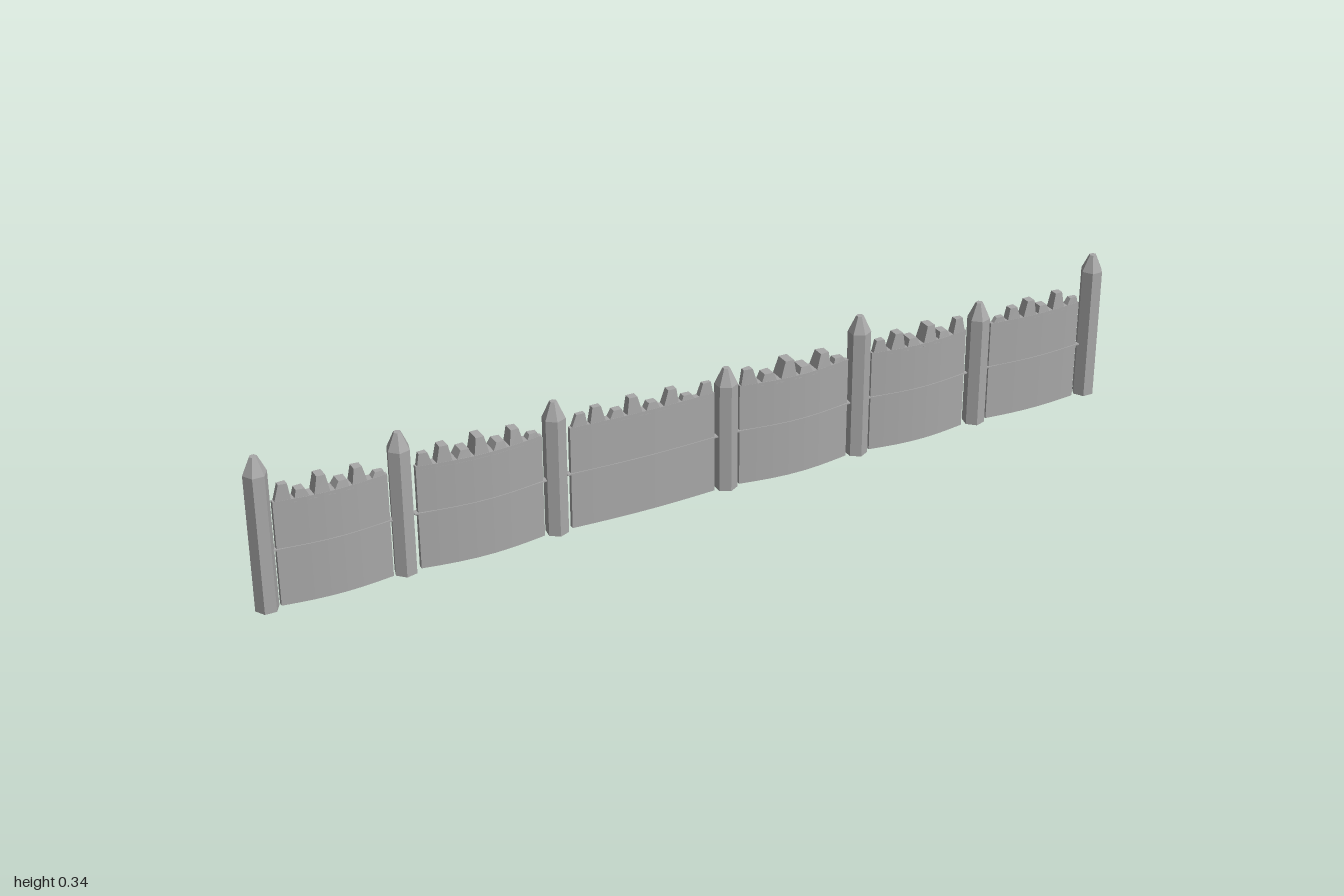
import * as THREE from 'three';

export function createModel() {
  const group = new THREE.Group();
  group.name = 'palisadeFence';
  const wood = new THREE.MeshStandardMaterial({ color: 0xa8a8a8 });
  wood.name = 'greyWood';

  function add(parent, geometry, name) {
    const flat = geometry.toNonIndexed();
    flat.computeVertexNormals();
    const mesh = new THREE.Mesh(flat, wood);
    mesh.name = name;
    parent.add(mesh);
    return mesh;
  }

  // Hexagonal posts with blunt tapered points: x, height, turn
  const posts = [
    [-0.975, 0.342, 0], [-0.682, 0.32, 0.25], [-0.346, 0.304, 0.4], [0.05, 0.284, 0.52],
    [0.373, 0.33, 0.5], [0.678, 0.292, 0.3], [0.975, 0.342, 0],
  ];
  const capHeight = 0.037;
  for (const [x, height, turn] of posts) {
    const post = new THREE.Group();
    post.name = 'post';
    post.position.x = x;
    post.rotation.y = Math.PI / 2 + turn;
    const shaft = height - capHeight;
    add(post, new THREE.CylinderGeometry(0.025, 0.025, shaft, 6), 'postShaft').position.y = shaft / 2;
    add(post, new THREE.CylinderGeometry(0.008, 0.025, capHeight, 6), 'postPoint').position.y = shaft + capHeight / 2;
    group.add(post);
  }

  // Half thickness of a panel: thin at the ends, swelling in the middle
  const halfDepth = (x, [x0, x1, bulge]) => {
    const t = THREE.MathUtils.clamp((x - x0) / (x1 - x0), 0, 1);
    return 0.005 + (bulge - 0.005) * Math.sin(Math.PI * t);
  };

  // A slab between two heights whose faces follow the swelling of its panel
  function slab(panel, x0, x1, y0, y1, segments, topScale = 1, extra = 0, lean = 0) {
    const geometry = new THREE.BoxGeometry(x1 - x0, 1, 1, segments, 1, 1);
    const p = geometry.attributes.position;
    const mid = (x0 + x1) / 2;
    for (let i = 0; i < p.count; i++) {
      const top = p.getY(i) > 0;
      const x = mid + p.getX(i) * (top ? topScale : 1) + (top ? lean : 0);
      const depth = halfDepth(x, panel) * (top && topScale < 1 ? 0.8 : 1) + extra;
      p.setXYZ(i, x, top ? y1 : y0, Math.sign(p.getZ(i)) * depth);
    }
    return geometry;
  }

  // Panels between posts: start, end, bulge
  const panels = [
    [-0.947, -0.71, 0.016], [-0.65, -0.376, 0.02], [-0.313, 0.02, 0.011],
    [0.08, 0.344, 0.02], [0.403, 0.643, 0.018], [0.708, 0.942, 0.013],
  ];
  const peaks = [0.27, 0.252, 0.272, 0.25, 0.268, 0.246, 0.262];
  const leans = [0.003, -0.003, 0, 0.004, -0.002];
  const shoulder = 0.235;
  let n = 0;
  for (const panel of panels) {
    const [x0, x1] = panel;
    const part = new THREE.Group();
    part.name = 'panel';
    add(part, slab(panel, x0, x1, 0, shoulder, 7), 'panelWall');

    // Thin rail running through the panel to the posts
    add(part, slab(panel, x0 - 0.008, x1 + 0.008, 0.127, 0.13, 7, 1, 0.002), 'rail');

    // Blunt stake tips along the top
    const count = Math.round((x1 - x0) / 0.041);
    const pitch = (x1 - x0) / count;
    for (let i = 0; i < count; i++, n++) {
      const a = x0 + i * pitch;
      add(part, slab(panel, a + 0.002, a + pitch - 0.002, shoulder - 0.008, peaks[n % 7], 1, 0.5, 0, leans[n % 5]), 'stakeTip');
    }
    group.add(part);
  }
  return group;
}
